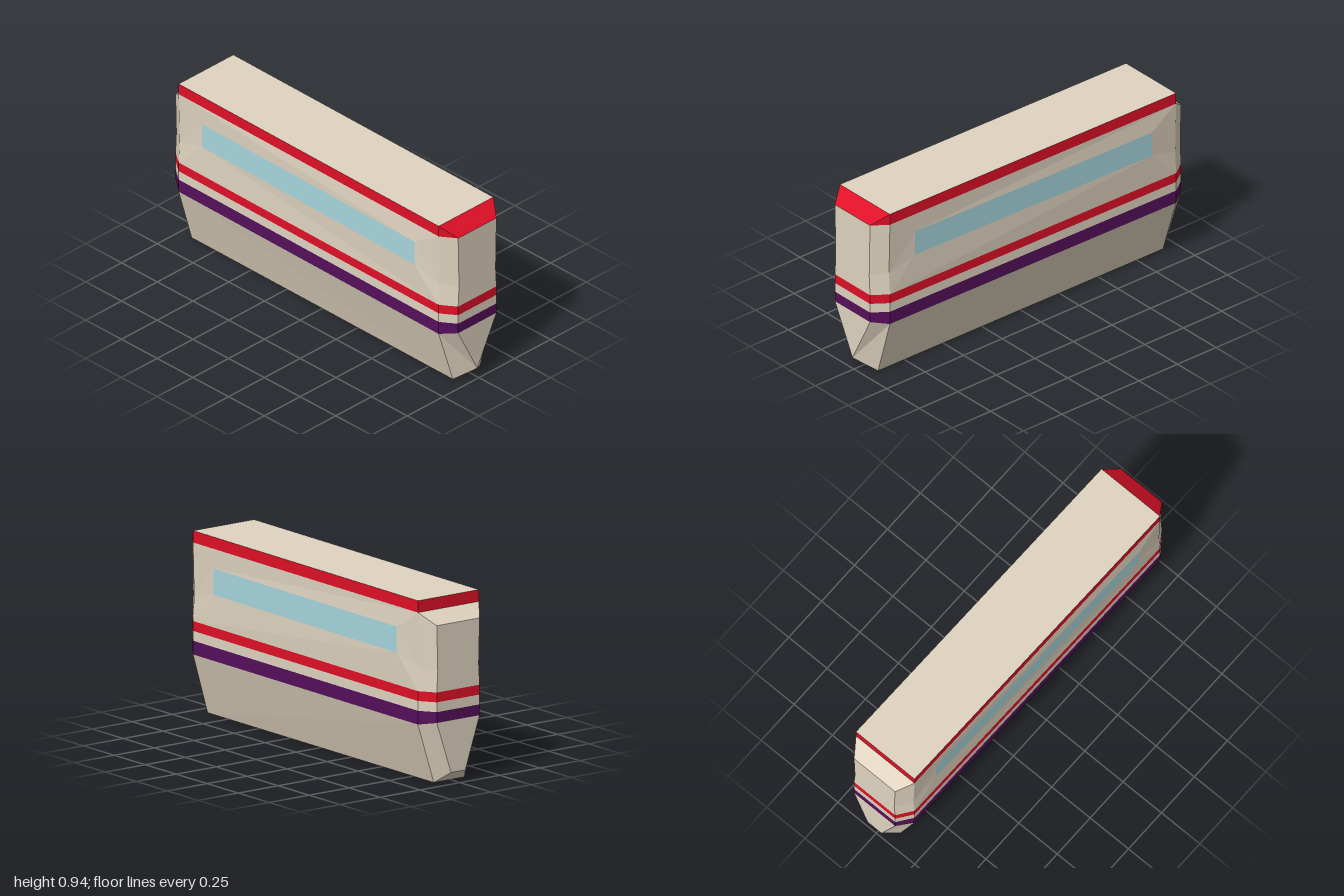
import * as THREE from 'three';

const mat = (name, color) => {
  const m = new THREE.MeshStandardMaterial({ color });
  m.name = name;
  return m;
};

export function createModel() {
  const cream = mat('cream', 0xe0d4c0);
  const red = mat('red', 0xe01027);
  const purple = mat('purple', 0x560f5a);
  const glass = mat('glass blue', 0xa8d6de);
  const centre = new THREE.Vector3(0, 0.5, 0);
  const parts = new Map();

  // The hull is slightly skewed: the front leans to -x, the rear to +x.
  const pt = (x, y, z, skew = 0.0109) => new THREE.Vector3(x - skew * z, y, z);

  // Add a flat polygon to a named part, each triangle turned outward.
  function face(name, material, ...p) {
    if (!parts.has(name)) parts.set(name, { material, pos: [] });
    const { pos } = parts.get(name);
    for (let i = 1; i < p.length - 1; i++) {
      const tri = new THREE.Triangle(p[0], p[i], p[i + 1]);
      if (tri.getArea() < 1e-7) continue;
      const n = tri.getNormal(new THREE.Vector3());
      const out = tri.getMidpoint(new THREE.Vector3()).sub(centre);
      const order = n.dot(out) > 0 ? [tri.a, tri.b, tri.c] : [tri.a, tri.c, tri.b];
      order.forEach(v => pos.push(v.x, v.y, v.z));
    }
  }

  const EDGE = 0.92, TOP = 0.94;
  const bottom = (s, e) => pt(s * 0.096, 0, e * EDGE, 0.006);
  const body = (s, y, e, half = 0.191) => pt(s * half, y, e * EDGE);
  const nose = (s, y, e, half = 0.134) => pt(s * half, y, e);
  const win = (s, y, e) => pt(s * 0.194, y, e * 0.757, 0.0175);

  // Levels: body height, nose height, body half width, nose half width
  const levels = e => [
    [0.31, 0.325, 0.191, 0.134],
    [0.38, 0.38, 0.191, 0.134],
    [0.43, 0.43, 0.191, 0.134],
    [0.48, 0.48, 0.191, 0.134],
    [0.6, 0.59, 0.184, 0.128],
    [0.88, e > 0 ? 0.88 : 0.82, 0.191, 0.134],
  ];
  const bands = [['purpleStripe', purple], ['creamStripe', cream], ['redStripe', red],
    ['endWalls', cream], ['endWalls', cream]];

  // End caps: centre panel and corner chamfers, band by band
  for (const e of [1, -1]) {
    const rows = levels(e);
    bands.forEach(([name, m], i) => {
      const [b0, n0, hb0, hn0] = rows[i], [b1, n1, hb1, hn1] = rows[i + 1];
      face(name, m, nose(-1, n0, e, hn0), nose(1, n0, e, hn0), nose(1, n1, e, hn1), nose(-1, n1, e, hn1));
      for (const s of [1, -1])
        face(name, m, body(s, b0, e, hb0), nose(s, n0, e, hn0), nose(s, n1, e, hn1), body(s, b1, e, hb1));
    });

    // Lower keel, pointed at the front and blunt at the rear
    const tip = s => pt(s * (e > 0 ? 0 : 0.045), 0.06, e);
    face('keelEnds', cream, nose(-1, 0.325, e), nose(1, 0.325, e), tip(1), tip(-1));
    face('keelEnds', cream, tip(-1), tip(1), bottom(1, e), bottom(-1, e));
    for (const s of [1, -1])
      face('keelEnds', cream, tip(s), nose(s, 0.325, e), body(s, 0.31, e), bottom(s, e));
  }

  // Front brow
  face('redRoofBand', red, body(-1, TOP, 1), body(1, TOP, 1), nose(1, 0.88, 1), nose(-1, 0.88, 1));
  for (const s of [1, -1])
    face('redRoofBand', red, body(s, TOP, 1), nose(s, 0.88, 1), body(s, 0.88, 1));
  // Rear step and sloping ledge
  face('redRoofBand', red, body(-1, 0.88, -1), body(1, 0.88, -1), body(1, TOP, -1), body(-1, TOP, -1));
  face('rearLedge', cream, body(-1, 0.88, -1), body(1, 0.88, -1), nose(1, 0.82, -1), nose(-1, 0.82, -1));

  // Long sides
  for (const s of [1, -1]) {
    const strip = (name, m, y0, y1) =>
      face(name, m, body(s, y0, 1), body(s, y0, -1), body(s, y1, -1), body(s, y1, 1));
    strip('purpleStripe', purple, 0.31, 0.38);
    strip('creamStripe', cream, 0.38, 0.43);
    strip('redStripe', red, 0.43, 0.48);
    strip('redRoofBand', red, 0.88, TOP);
    face('keelSides', cream, bottom(s, 1), bottom(s, -1), body(s, 0.31, -1), body(s, 0.31, 1));

    // Slightly bulged wall around the long window
    const lo = 0.645, hi = 0.778;
    face('window', glass, win(s, lo, 1), win(s, lo, -1), win(s, hi, -1), win(s, hi, 1));
    face('sideWalls', cream, body(s, 0.48, 1), body(s, 0.48, -1), win(s, lo, -1), win(s, lo, 1));
    face('sideWalls', cream, win(s, hi, 1), win(s, hi, -1), body(s, 0.88, -1), body(s, 0.88, 1));
    for (const e of [1, -1]) {
      const dent = body(s, 0.6, e, 0.184);
      face('sideWalls', cream, body(s, 0.48, e), dent, win(s, lo, e));
      face('sideWalls', cream, dent, body(s, 0.88, e), win(s, hi, e), win(s, lo, e));
    }
  }

  // Roof and floor
  face('roof', cream, body(-1, TOP, 1), body(1, TOP, 1), body(1, TOP, -1), body(-1, TOP, -1));
  face('floor', cream, bottom(-1, 1), bottom(1, 1), bottom(1, -1), bottom(-1, -1));

  const group = new THREE.Group();
  group.name = 'carriage';
  for (const [name, { material, pos }] of parts) {
    const geo = new THREE.BufferGeometry();
    geo.setAttribute('position', new THREE.Float32BufferAttribute(pos, 3));
    geo.computeVertexNormals();
    const mesh = new THREE.Mesh(geo, material);
    mesh.name = name;
    group.add(mesh);
  }
  return group;
}
